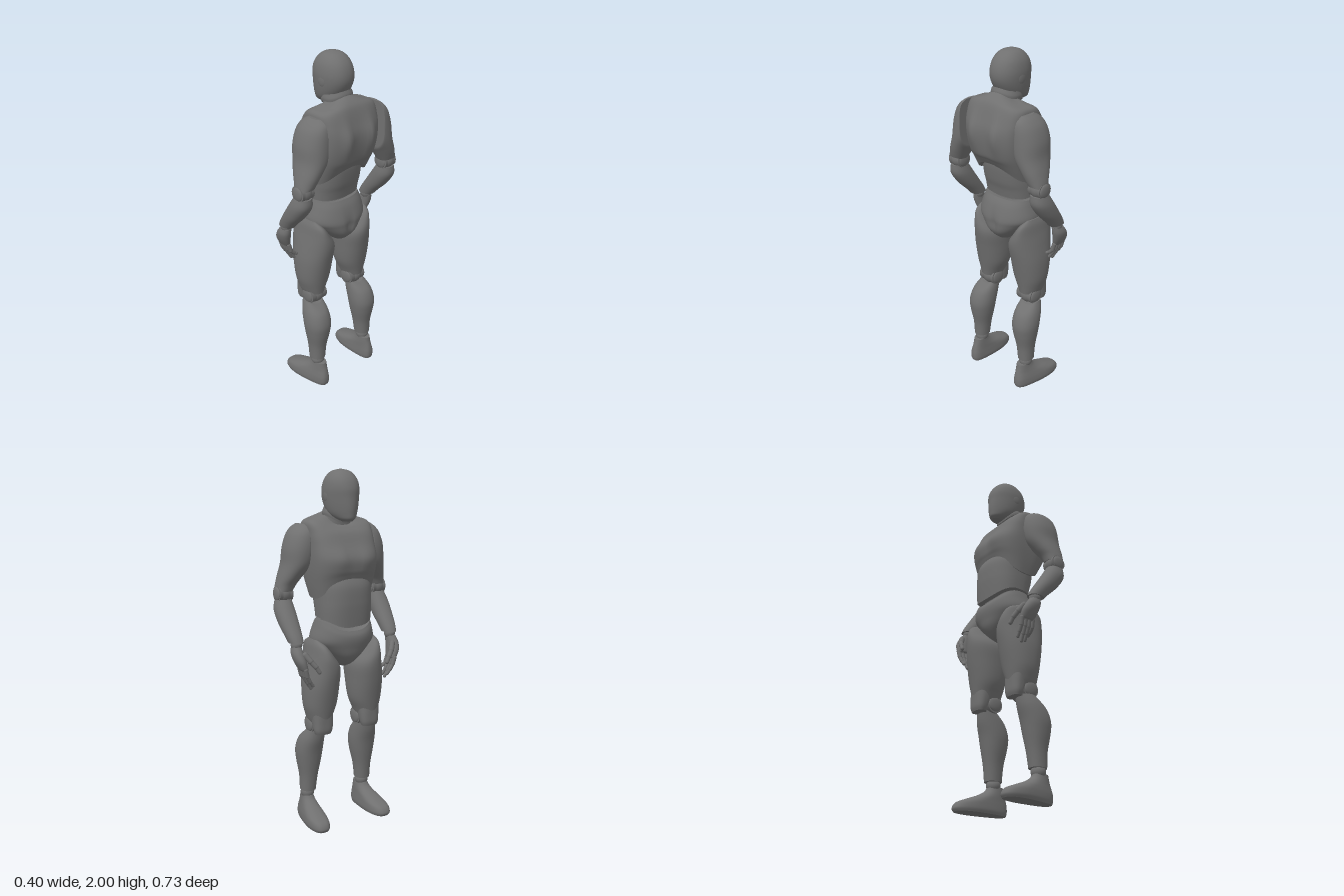
import * as THREE from 'three';

const material = new THREE.MeshStandardMaterial({ color: 0x707070 });

// Cubic interpolation through rows of numbers
function smoothRows(rows, steps) {
  const out = [];
  const at = (i) => rows[Math.max(0, Math.min(rows.length - 1, i))];
  for (let i = 0; i < rows.length - 1; i++) {
    for (let k = 0; k < steps; k++) {
      const t = k / steps;
      out.push(rows[i].map((_, c) => {
        const [p, q, r, s] = [at(i - 1)[c], at(i)[c], at(i + 1)[c], at(i + 2)[c]];
        return q + 0.5 * t * (r - p + t * (2 * p - 5 * q + 4 * r - s + t * (3 * (q - r) + s - p)));
      }));
    }
  }
  out.push(rows[rows.length - 1]);
  return out;
}

// Body shell from cross-sections, top to bottom. The figure faces -x.
// Row: [y, frontX, backX, innerZ, outerZ, roundness, frontLift, backLift]
function loft(name, sections, side = 1, shape = null, n = 48) {
  const full = sections.map((s) => [...s, ...[0, 0, 0, 0, 0, 2.2, 0, 0].slice(s.length)]);
  const rows = smoothRows(full, 6);
  const pos = [], idx = [], v = new THREE.Vector3();
  const tri = (a, b, c) => (side > 0 ? idx.push(a, b, c) : idx.push(a, c, b));
  const pow = (t, e) => Math.sign(t) * Math.abs(t) ** (2 / e);
  for (const [y, f, b, z0, z1, e, lf, lb] of rows) {
    for (let j = 0; j < n; j++) {
      const a = (j / n) * Math.PI * 2, c = Math.cos(a), s = Math.sin(a);
      v.set((f + b) / 2 + (b - f) / 2 * pow(c, e), y + c * c * (c < 0 ? lf : lb),
        (z0 + z1) / 2 + (z1 - z0) / 2 * pow(s, e));
      if (shape) shape(v);
      pos.push(v.x, v.y, v.z * side);
    }
  }
  for (let i = 0; i < rows.length - 1; i++) {
    for (let j = 0; j < n; j++) {
      const k = (j + 1) % n, a = i * n, b = a + n;
      tri(a + j, a + k, b + j);
      tri(a + k, b + k, b + j);
    }
  }
  // Crisp end caps
  for (const [row, top] of [[0, true], [rows.length - 1, false]]) {
    const ring = pos.slice(row * n * 3, (row + 1) * n * 3), base = pos.length / 3;
    const mid = [0, 1, 2].map((c) => ring.reduce((t, p, i) => t + (i % 3 === c ? p : 0), 0) / n);
    pos.push(...ring, ...mid);
    for (let j = 0; j < n; j++) {
      const k = (j + 1) % n;
      top ? tri(base + n, base + k, base + j) : tri(base + n, base + j, base + k);
    }
  }
  const g = new THREE.BufferGeometry();
  g.setAttribute('position', new THREE.Float32BufferAttribute(pos, 3));
  g.setIndex(idx);
  g.computeVertexNormals();
  return named(name, g);
}

function named(name, geometry) {
  const m = new THREE.Mesh(geometry, material);
  m.name = name;
  return m;
}

function ball(name, x, y, z, rx, ry = rx, rz = rx) {
  const m = named(name, new THREE.SphereGeometry(1, 28, 18));
  m.position.set(x, y, z);
  m.scale.set(rx, ry, rz);
  return m;
}

// Round pivot lying across the body
function pivot(name, x, y, z, r, length) {
  const m = named(name, new THREE.CylinderGeometry(r, r, length, 32));
  m.rotation.x = Math.PI / 2;
  m.position.set(x, y, z);
  return m;
}

// Jointed digit along a list of points
function digit(name, points, r) {
  const g = new THREE.Group();
  g.name = name;
  const p = points.map((q) => new THREE.Vector3(...q));
  for (let i = 0; i < p.length - 1; i++) {
    const d = p[i + 1].clone().sub(p[i]);
    const m = named('fingerSegment', new THREE.CapsuleGeometry(r * (1 - 0.13 * i), d.length() * 0.85, 5, 12));
    m.position.copy(p[i]).addScaledVector(d, 0.5);
    m.quaternion.setFromUnitVectors(new THREE.Vector3(0, 1, 0), d.normalize());
    g.add(m);
  }
  return g;
}

const bump = (t, c, w) => Math.exp(-(((t - c) / w) ** 2));
const sym = (rows) => rows.map(([y, f, b, w, ...rest]) => [y, f, b, -w, w, ...rest]);

function trunk() {
  const g = new THREE.Group();
  g.name = 'trunk';
  // Skull with a face that narrows toward the chin
  g.add(loft('head', sym([
    [2.0, -0.03, -0.015, 0.008], [1.987, -0.08, 0.035, 0.05], [1.95, -0.119, 0.075, 0.08], [1.9, -0.14, 0.095, 0.093],
    [1.85, -0.144, 0.094, 0.093], [1.8, -0.146, 0.07, 0.087], [1.765, -0.144, 0.035, 0.077],
    [1.74, -0.14, -0.02, 0.058], [1.725, -0.125, -0.06, 0.03]]), 1, (v) => {
    const front = Math.max(0, -v.x) / 0.145, low = THREE.MathUtils.clamp((1.93 - v.y) / 0.18, 0, 1);
    v.z *= 1 - 0.4 * front * front * low;
  }));
  for (const s of [1, -1]) g.add(ball('earDisc', -0.015, 1.86, s * 0.086, 0.03, 0.034, 0.009));
  g.add(loft('neck', sym([[1.84, -0.06, 0.06, 0.07], [1.76, -0.056, 0.075, 0.076], [1.67, -0.05, 0.1, 0.088]])));
  g.add(loft('neckCollar', sym([[1.79, -0.064, 0.076, 0.08, 2.2, -0.04, 0.02],
    [1.77, -0.068, 0.084, 0.085, 2.2, -0.04, 0.02], [1.755, -0.066, 0.084, 0.084, 2.2, -0.04, 0.02]])));
  // Rib cage with chest muscles, shoulder blades and a spine groove
  g.add(loft('chest', sym([
    [1.755, -0.04, 0.085, 0.085, 2.2, -0.05, 0.03], [1.742, -0.06, 0.12, 0.135, 2.6, -0.04, 0.02],
    [1.72, -0.08, 0.145, 0.186, 3.2, -0.03, 0.01], [1.66, -0.11, 0.168, 0.192, 3.8], [1.6, -0.14, 0.182, 0.192, 3.8],
    [1.53, -0.17, 0.182, 0.192, 3.6], [1.46, -0.172, 0.17, 0.189, 3.2, 0.01, 0],
    [1.38, -0.164, 0.152, 0.18, 2.8, 0.06, 0.05], [1.31, -0.157, 0.13, 0.168, 2.6, 0.11, 0.09]]), 1, (v) => {
    const z = Math.abs(v.z);
    if (v.x < 0) v.x -= 0.014 * bump(z, 0.07, 0.06) * bump(v.y, 1.53, 0.06);
    else v.x += 0.02 * bump(z, 0.08, 0.035) * bump(v.y, 1.58, 0.09) - 0.006 * bump(z, 0, 0.03) * bump(v.y, 1.52, 0.15);
  }, 80));
  g.add(loft('abdomen', sym([
    [1.44, -0.15, 0.11, 0.145, 2.5], [1.38, -0.175, 0.112, 0.156, 2.5], [1.3, -0.18, 0.1, 0.157, 2.5],
    [1.25, -0.178, 0.085, 0.156, 2.5, -0.01, 0], [1.205, -0.172, 0.075, 0.154, 2.5, -0.045, 0]])));
  g.add(loft('waistCore', sym([[1.27, -0.13, 0.055, 0.125], [1.1, -0.13, 0.055, 0.125]])));
  // Pelvis tapering to the crotch, cleft at the back
  g.add(loft('pelvis', sym([
    [1.19, -0.165, 0.078, 0.155, 2.4, -0.055, 0], [1.15, -0.178, 0.1, 0.167, 2.4, -0.04, 0],
    [1.08, -0.18, 0.122, 0.184], [1.04, -0.172, 0.124, 0.156], [0.99, -0.157, 0.117, 0.104],
    [0.945, -0.12, 0.08, 0.052], [0.92, -0.07, 0.035, 0.022]]), 1, (v) => {
    if (v.x > 0) v.x -= 0.018 * bump(v.z, 0, 0.02) * bump(v.y, 1.03, 0.07);
  }));
  return g;
}

function leg(s) {
  const g = new THREE.Group();
  g.name = s > 0 ? 'rightLeg' : 'leftLeg';
  g.add(ball('hipBall', -0.02, 1.03, s * 0.12, 0.07));
  g.add(loft('thigh', [
    [1.085, -0.07, 0.03, 0.168, 0.19], [1.055, -0.14, 0.08, 0.137, 0.202], [1.0, -0.172, 0.1, 0.095, 0.212],
    [0.93, -0.178, 0.103, 0.048, 0.226], [0.83, -0.164, 0.084, 0.047, 0.241], [0.72, -0.142, 0.062, 0.058, 0.24],
    [0.65, -0.128, 0.048, 0.084, 0.224], [0.615, -0.122, 0.042, 0.098, 0.212]], s));
  // Guard hanging over the front of the knee
  g.add(loft('kneeGuard', [
    [0.68, -0.127, -0.02, 0.09, 0.22], [0.62, -0.126, -0.035, 0.094, 0.214, 2.6],
    [0.575, -0.125, -0.052, 0.1, 0.21, 2.6], [0.55, -0.118, -0.058, 0.108, 0.202, 2.6]], s));
  g.add(ball('kneeBall', -0.02, 0.595, s * 0.154, 0.056));
  g.add(pivot('kneePivot', -0.02, 0.595, s * 0.154, 0.05, 0.108));
  for (const z of [0.1, 0.208]) g.add(ball('kneeCap', -0.02, 0.595, s * z, 0.042, 0.042, 0.012));
  g.add(loft('shin', [
    [0.56, -0.075, 0.03, 0.114, 0.222, 2.3, 0, -0.015], [0.5, -0.068, 0.088, 0.106, 0.246], [0.43, -0.05, 0.114, 0.104, 0.256],
    [0.36, -0.037, 0.109, 0.113, 0.25], [0.27, -0.022, 0.091, 0.132, 0.236], [0.18, -0.012, 0.085, 0.143, 0.232]], s));
  g.add(ball('ankleBall', 0.04, 0.162, s * 0.188, 0.04));
  // Foot, slightly splayed, with a narrow heel
  g.add(loft('foot', [
    [0.15, 0.005, 0.1, 0.15, 0.23], [0.125, -0.015, 0.105, 0.146, 0.235], [0.1, -0.06, 0.112, 0.142, 0.242],
    [0.075, -0.125, 0.118, 0.139, 0.25, 2.5], [0.05, -0.183, 0.122, 0.136, 0.256, 2.8],
    [0.02, -0.203, 0.122, 0.134, 0.258, 2.8], [0, -0.195, 0.116, 0.139, 0.252, 2.8]], s, (v) => {
    v.z = 0.19 + (v.z - 0.19) * (1 - 0.2 * THREE.MathUtils.smoothstep(v.x, -0.1, 0.08)) - v.x * 0.06;
  }));
  return g;
}

function arm(s) {
  const g = new THREE.Group();
  g.name = s > 0 ? 'rightArm' : 'leftArm';
  g.add(pivot('shoulderPivot', 0.065, 1.62, s * 0.2, 0.045, 0.08));
  g.add(loft('upperArm', [
    [1.712, 0.02, 0.11, 0.17, 0.222], [1.69, -0.02, 0.145, 0.14, 0.252], [1.65, -0.045, 0.16, 0.125, 0.282],
    [1.58, -0.055, 0.166, 0.125, 0.305], [1.5, -0.045, 0.166, 0.155, 0.313], [1.43, -0.01, 0.157, 0.205, 0.332],
    [1.385, 0.018, 0.146, 0.234, 0.344], [1.35, 0.03, 0.138, 0.255, 0.35, 2.4, 0, 0.01]], s, (v) => {
    // Flat face where the shoulder meets the chest
    v.z = Math.max(v.z, 0.203);
  }));
  g.add(ball('elbowBall', 0.08, 1.335, s * 0.305, 0.05));
  g.add(pivot('elbowPivot', 0.08, 1.335, s * 0.305, 0.045, 0.08));
  for (const z of [0.266, 0.345]) g.add(ball('elbowCap', 0.08, 1.335, s * z, 0.038, 0.038, 0.012));
  g.add(loft('forearm', [
    [1.305, 0.03, 0.13, 0.264, 0.35], [1.25, -0.005, 0.128, 0.255, 0.364], [1.18, -0.052, 0.08, 0.256, 0.362],
    [1.12, -0.092, 0.02, 0.262, 0.352], [1.085, -0.11, -0.012, 0.266, 0.344]], s));
  g.add(ball('wristBall', -0.068, 1.075, s * 0.306, 0.032));
  g.add(loft('palm', [
    [1.065, -0.105, -0.035, 0.284, 0.334], [1.03, -0.13, -0.04, 0.28, 0.342], [0.99, -0.15, -0.052, 0.274, 0.334],
    [0.95, -0.152, -0.066, 0.268, 0.314], [0.94, -0.145, -0.073, 0.272, 0.306]], s));
  for (let i = 0; i < 4; i++) {
    const x = -0.144 + i * 0.024, tip = [0.845, 0.825, 0.835, 0.87][i];
    g.add(digit('finger', [[x, 0.95, s * 0.292], [x + 0.003, 0.905, s * 0.28],
      [x + 0.005, 0.87 + (tip - 0.835) * 0.5, s * 0.262], [x + 0.008, tip + 0.006, s * 0.243]], 0.0125));
  }
  g.add(digit('thumb', [[-0.125, 1.03, s * 0.287], [-0.15, 0.99, s * 0.262],
    [-0.163, 0.96, s * 0.238], [-0.168, 0.93, s * 0.22]], 0.016));
  return g;
}

export function createModel() {
  const model = new THREE.Group();
  model.name = 'jointedFigure';
  model.add(trunk());
  for (const s of [1, -1]) model.add(leg(s), arm(s));
  return model;
}
